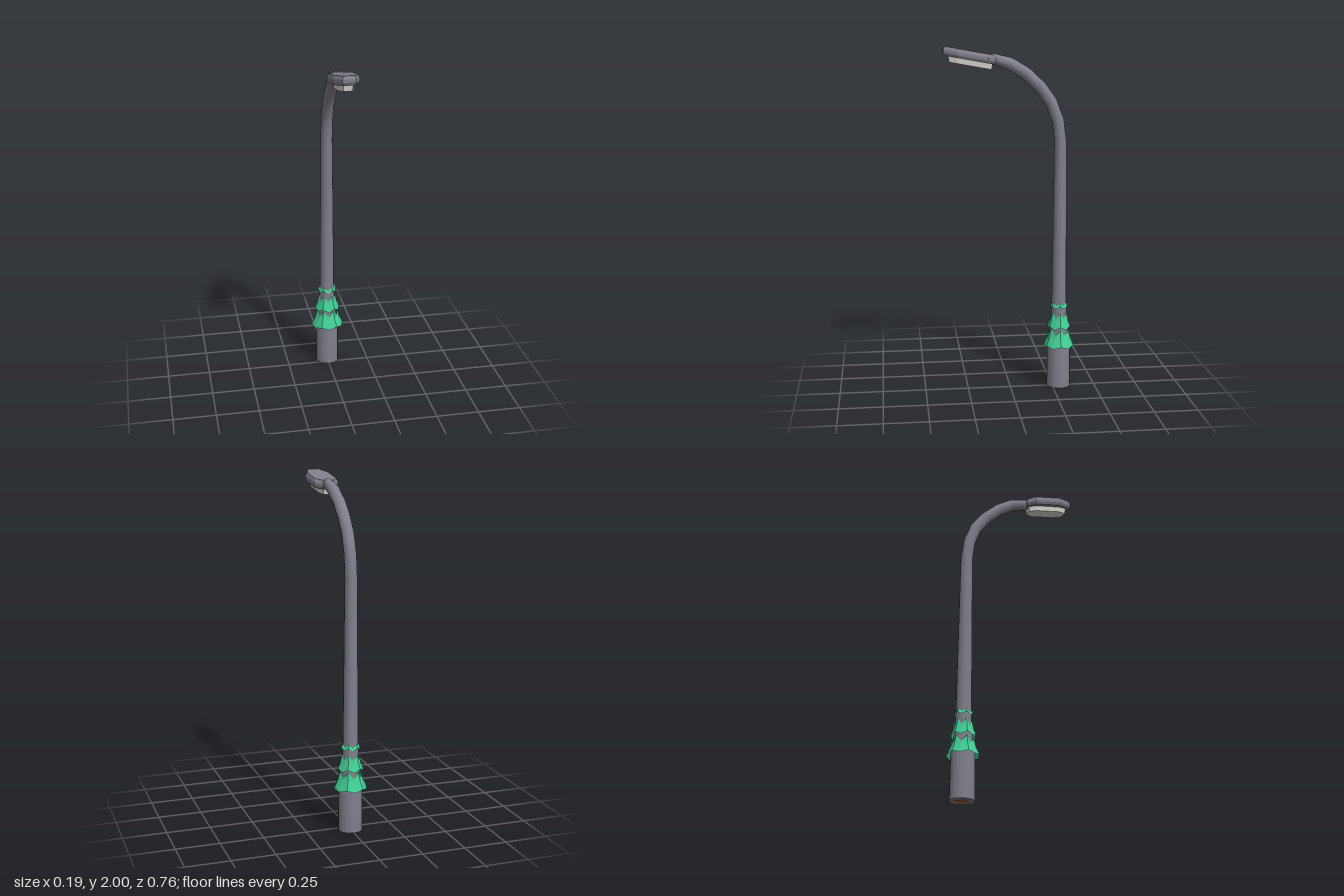
import * as THREE from 'three';
import { toCreasedNormals } from 'three/addons/utils/BufferGeometryUtils.js';

const POLE_Z = -0.288;
const SIDES = 12;

function mat(name, color, extra = {}) {
  const m = new THREE.MeshStandardMaterial({ color, ...extra });
  m.name = name;
  return m;
}

// Skin a stack of closed loops (arrays of Vector3), optionally capping both ends
function loft(loops, caps = true, crease = 0.6) {
  const pos = [];
  const tri = (...v) => v.forEach((p) => pos.push(p.x, p.y, p.z));
  const n = loops[0].length;
  for (let i = 0; i < loops.length - 1; i++) {
    for (let j = 0; j < n; j++) {
      const k = (j + 1) % n;
      const a = loops[i][j], b = loops[i][k], c = loops[i + 1][k], d = loops[i + 1][j];
      tri(a, b, c);
      tri(a, c, d);
    }
  }
  if (caps) {
    const s = loops[0], e = loops[loops.length - 1];
    for (let j = 1; j < n - 1; j++) {
      tri(s[0], s[j + 1], s[j]);
      tri(e[0], e[j], e[j + 1]);
    }
  }
  const g = new THREE.BufferGeometry();
  g.setAttribute('position', new THREE.Float32BufferAttribute(pos, 3));
  g.computeVertexNormals();
  return toCreasedNormals(g, crease);
}

// Pole and curved arm: [z, y, radius] along the centre line
function poleGeometry() {
  const path = [
    [POLE_Z, 0.002, 0.07], [POLE_Z, 0.26, 0.068], [POLE_Z, 0.34, 0.055],
    [POLE_Z, 0.42, 0.048], [POLE_Z, 0.5, 0.044], [POLE_Z, 1.46, 0.035],
    [-0.273, 1.58, 0.035], [-0.233, 1.685, 0.035], [-0.172, 1.768, 0.035],
    [-0.09, 1.845, 0.035], [0, 1.9, 0.035], [0.11, 1.932, 0.03],
  ];
  const loops = path.map(([z, y, r], i) => {
    const p = path[Math.max(i - 1, 0)], q = path[Math.min(i + 1, path.length - 1)];
    const t = Math.atan2(q[0] - p[0], q[1] - p[1]); // lean towards +z
    return Array.from({ length: SIDES }, (_, j) => {
      const a = (j / SIDES) * Math.PI * 2;
      const u = r * Math.cos(a);
      return new THREE.Vector3(r * Math.sin(a), y - u * Math.sin(t), z + u * Math.cos(t));
    });
  });
  return loft(loops);
}

// Leafy skirt: rows of [radius, y, zigzag height]
function skirtGeometry(rows) {
  const loops = rows.map(([r, y, zig]) =>
    Array.from({ length: SIDES }, (_, j) => {
      const a = (j / SIDES) * Math.PI * 2;
      const up = j % 2 ? zig : -zig;
      return new THREE.Vector3(r * Math.sin(a), y + up, POLE_Z + r * 0.95 * Math.cos(a));
    }));
  return loft(loops, false, 0.3);
}

// Lamp part: mirrored half outline [x, z] stacked at [height, inset] below the sloping top
function lampGeometry(half, layers) {
  const mid = (half[0][1] + half[half.length - 1][1]) / 2;
  const outline = [
    ...half.map(([x, z]) => [-x, z]),
    ...[...half].reverse(),
  ];
  const loops = layers.map(([h, s]) =>
    outline.map(([x, z]) => {
      const zz = mid + (z - mid) * (1 - (1 - s) * 0.6);
      return new THREE.Vector3(x * s, 2 + 0.18 * (zz - 0.365) + h, zz);
    }));
  return loft(loops, true, 0.2);
}

export function createModel() {
  const metal = mat('grey metal', 0x7f7f8b);
  const leaf = mat('leaf green', 0x41cc93, { side: THREE.DoubleSide });
  const glass = mat('pale lamp cover', 0xd8d8d0);
  const wood = mat('brown wood', 0x9a5a1e);

  const model = new THREE.Group();
  model.name = 'streetLamp';
  const add = (name, geometry, material) => {
    const mesh = new THREE.Mesh(geometry, material);
    mesh.name = name;
    model.add(mesh);
    return mesh;
  };

  add('pole', poleGeometry(), metal);

  // Square trunk end set in the foot
  const trunk = add('trunkEnd', new THREE.CylinderGeometry(0.042, 0.042, 0.006, 4), wood);
  trunk.position.set(0, 0.003, POLE_Z);

  // Three tiers of foliage around the pole
  add('lowerFoliage', skirtGeometry([
    [0.096, 0.253, 0.006], [0.076, 0.295, 0.003], [0.061, 0.338, 0.02],
  ]), leaf);
  add('middleFoliage', skirtGeometry([
    [0.074, 0.365, 0.009], [0.061, 0.398, 0.004], [0.05, 0.438, 0.018],
  ]), leaf);
  add('upperFoliage', skirtGeometry([
    [0.055, 0.486, 0.007], [0.045, 0.505, 0.009],
  ]), leaf);

  // Lamp head and its cover
  add('lampHead', lampGeometry(
    [[0.036, 0.083], [0.072, 0.13], [0.072, 0.296], [0.036, 0.378]],
    [[-0.052, 0.9], [-0.036, 1], [-0.02, 1], [0, 0.87]],
  ), metal);
  add('lampCover', lampGeometry(
    [[0.026, 0.1], [0.043, 0.14], [0.043, 0.3], [0.026, 0.352]],
    [[-0.084, 0.9], [-0.045, 1]],
  ), glass);

  return model;
}
